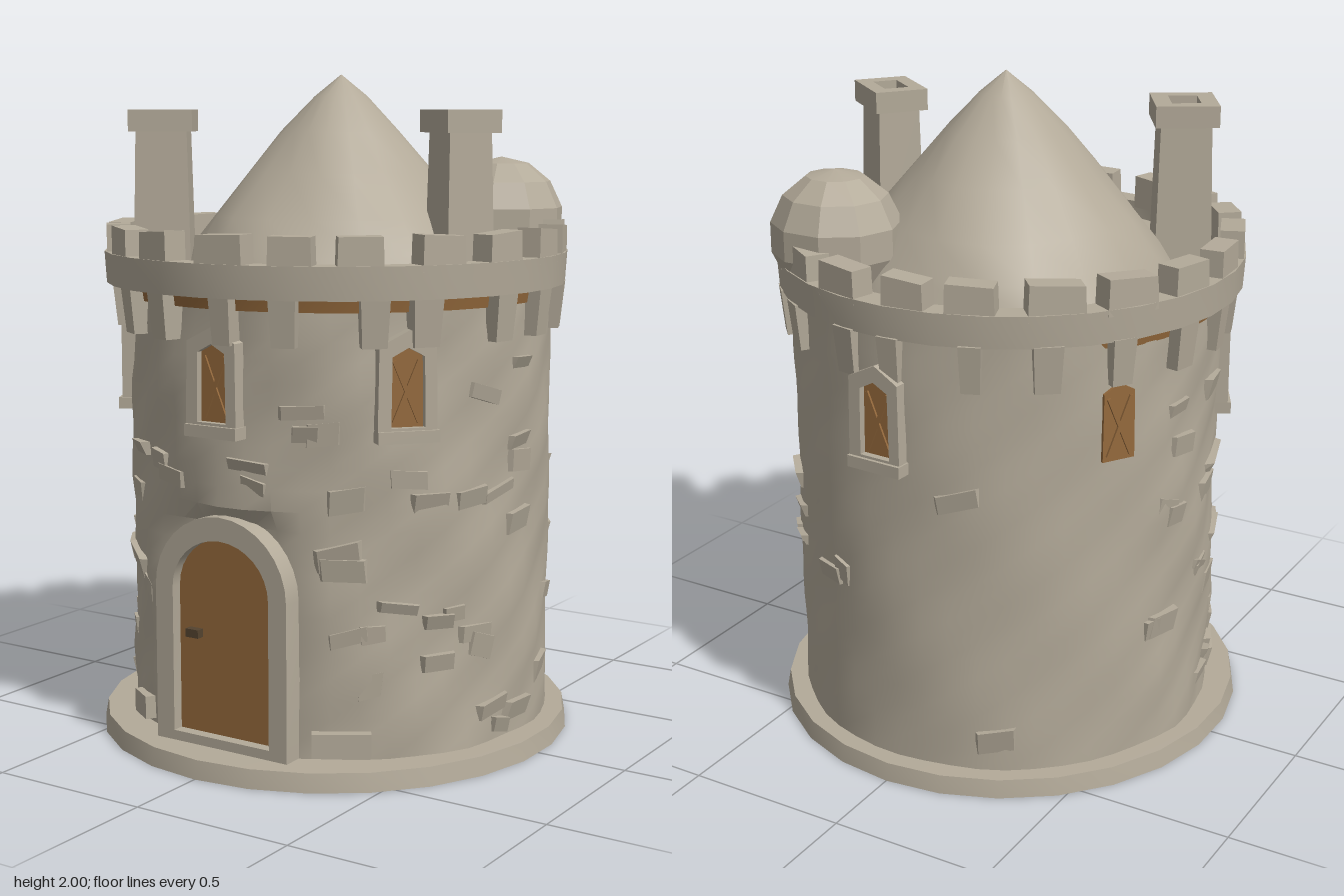
import * as THREE from 'three';
import { toCreasedNormals } from 'three/addons/utils/BufferGeometryUtils.js';

const stone = new THREE.MeshStandardMaterial({ color: 0xb3aa99 });
stone.name = 'stone';
const wood = new THREE.MeshStandardMaterial({ color: 0x94693c });
wood.name = 'wood';
const iron = new THREE.MeshStandardMaterial({ color: 0x54432f });
iron.name = 'darkIron';

const RAD = Math.PI / 180;
const CZ = -0.03; // z of the tower axis
let seed = 7;
const rnd = () => (seed = (seed * 16807) % 2147483647) / 2147483647;
const jit = (a) => (rnd() * 2 - 1) * a;

export function createModel() {
  const model = new THREE.Group();

  const add = (name, geo, mat = stone, parent = model, crease = 0.6) => {
    const m = new THREE.Mesh(toCreasedNormals(geo, crease), mat);
    m.name = name;
    parent.add(m);
    return m;
  };
  const lathe = (pts, seg) => new THREE.LatheGeometry(pts.map(([x, y]) => new THREE.Vector2(x, y)), seg);
  // moves each vertex by a rule
  const warp = (geo, rule) => {
    const p = geo.attributes.position, v = new THREE.Vector3();
    for (let i = 0; i < p.count; i++) {
      v.fromBufferAttribute(p, i);
      rule(v);
      p.setXYZ(i, v.x, v.y, v.z);
    }
    return geo;
  };
  // group turned about the tower axis so that its +z points outward
  const spoke = (name, deg, z = CZ) => {
    const g = new THREE.Group();
    g.name = name;
    g.position.z = z;
    g.rotation.y = deg * RAD;
    model.add(g);
    return g;
  };
  const poly = (pts) => new THREE.Shape(pts.map(([x, y]) => new THREE.Vector2(x, y)));
  const extrude = (shape, depth, z = 0) =>
    new THREE.ExtrudeGeometry(shape, { depth, bevelEnabled: false, curveSegments: 8 }).translate(0, 0, z);

  // base slab
  const base = lathe([[0, 0], [0.735, 0], [0.725, 0.055], [0, 0.062]], 26);
  add('baseSlab', warp(base, (v) => { v.x *= 0.985; v.z *= 1.01; }));

  // round wall, gently uneven and flattened behind the door
  const wall = new THREE.CylinderGeometry(0.645, 0.645, 1.33, 48, 22, true).translate(0, 0.715, 0);
  warp(wall, (v) => {
    const a = Math.atan2(v.x, v.z);
    const rough = Math.cos(a) > -0.3 ? 0.009 : 0.004;
    const k = 1 + rough * (Math.sin(a * 7 + v.y * 9) + Math.sin(a * 13 - v.y * 23) * 0.8);
    v.x *= k;
    v.z = v.z * k + CZ;
    if (Math.abs(v.x) < 0.25 && v.y < 0.72 && v.z > 0) v.z = Math.min(v.z, 0.562);
  });
  add('towerWall', wall);

  // wooden ring showing under the parapet
  add('woodenRing', new THREE.CylinderGeometry(0.657, 0.65, 0.04, 40, 1, true).translate(0, 1.362, -0.015), wood);

  // rough stones standing proud of the wall
  const windows = [0, 49, 177, -121, -62];
  const stones = new THREE.Group();
  stones.name = 'wallStones';
  model.add(stones);
  for (let i = 0; i < 105; i++) {
    const deg = i < 90 ? -100 + rnd() * 195 : 95 + rnd() * 165;
    const y = 0.1 + rnd() * 1.1;
    const w = 0.07 + rnd() * 0.1, h = 0.03 + rnd() * 0.045;
    if (Math.abs(deg) < 30 && y < 0.82) continue;
    if (y > 0.92 && windows.some((d) => Math.abs(((deg - d + 540) % 360) - 180) < 16)) continue;
    const skew = jit(0.015), top = 0.008 + rnd() * 0.014;
    const g = warp(new THREE.BoxGeometry(w, h, 0.05), (v) => {
      if (v.z > 0) {
        v.x *= 0.75;
        v.z = v.y > 0 ? top : 0.004;
      }
      v.y += v.x > 0 ? skew : -skew * 0.5;
    });
    const s = add('wallStone', g, stone, stones, 0.3);
    s.position.set(Math.sin(deg * RAD) * 0.643, y, Math.cos(deg * RAD) * 0.643 + CZ);
    s.rotation.set(0, deg * RAD, jit(0.12), 'YXZ');
  }

  // parapet with roof deck, merlons and corbels
  add('parapet', lathe([[0.6, 1.38], [0.7, 1.38], [0.706, 1.475], [0.632, 1.475], [0.632, 1.42], [0, 1.42]], 30));
  for (let i = 0; i < 20; i++) {
    const m = spoke('merlon', 94 + i * 18 + jit(1.5), 0);
    const lean = jit(0.012);
    const g = warp(new THREE.BoxGeometry(0.145 + jit(0.02), 0.1, 0.072), (v) => {
      if (v.y > 0) { v.x *= 0.95; v.y += v.x * lean * 8; }
    });
    add('merlonBlock', g.translate(0, 1.505, 0.662), stone, m);

    const c = spoke('corbel', 3 + i * 18 + jit(3), -0.015);
    const b = warp(new THREE.BoxGeometry(0.075 + jit(0.015), 0.14, 0.12), (v) => {
      if (v.y < 0) { v.x *= 0.85; if (v.z > 0) v.z -= 0.015; }
    });
    add('corbelBlock', b.translate(0, 1.315, 0.632), stone, c);
  }

  // pointed roof
  const roof = lathe([[0.5, 1.4], [0.46, 1.48], [0.39, 1.58], [0.28, 1.71], [0.18, 1.83], [0.08, 1.935], [0, 2]], 18);
  warp(roof, (v) => {
    const a = Math.atan2(v.x, v.z);
    const k = 1 + 0.02 * Math.sin(a * 5 + v.y * 14);
    v.x = v.x * k + 0.015;
    v.z = v.z * k - 0.005;
  });
  add('pointedRoof', roof, stone, model, 0.5);

  // small dome on the deck
  const dome = new THREE.SphereGeometry(0.2, 10, 7);
  add('smallDome', dome.scale(1, 1, 0.95).translate(0.35, 1.55, -0.41), stone, model, 0.35);

  // chimneys: tapered shaft and hollow cap
  for (const [x, z, deg, w, d] of [[-0.405, 0.33, 32, 0.19, 0.2], [0.475, 0.075, 52, 0.165, 0.215]]) {
    const g = new THREE.Group();
    g.name = 'chimney';
    g.position.set(x, 1.4, z);
    g.rotation.y = deg * RAD;
    model.add(g);
    const shaft = warp(new THREE.BoxGeometry(w - 0.03, 0.44, d - 0.05), (v) => {
      const k = v.y < 0 ? 1.08 : 0.95;
      v.x *= k; v.z *= k;
    });
    add('chimneyShaft', shaft.translate(0, 0.22, 0), stone, g);
    const rect = (a, b) => [[-a, -b], [a, -b], [a, b], [-a, b]];
    const cap = poly(rect(w / 2, d / 2));
    cap.holes.push(poly(rect(w * 0.23, d * 0.27)));
    add('chimneyCap', extrude(cap, 0.065).rotateX(-Math.PI / 2).translate(0, 0.43, 0), stone, g);
  }

  // windows: pointed stone frame, wooden pane, crossed bars
  for (const deg of windows) {
    const g = spoke('window', deg);
    g.position.y = 1.13;
    const flush = deg === -121;
    if (!flush) {
      const frame = poly([[-0.09, -0.15], [0.085, -0.15], [0.082, 0.12], [0.005, 0.165], [-0.085, 0.12]]);
      frame.holes.push(poly([[-0.05, -0.11], [0.05, -0.11], [0.047, 0.09], [0, 0.115], [-0.047, 0.09]]));
      add('windowFrame', extrude(frame, 0.085, 0.59), stone, g);
      add('windowSill', new THREE.BoxGeometry(0.18, 0.035, 0.06).translate(0, -0.135, 0.655), stone, g);
    }
    const pane = poly([[-0.052, -0.112], [0.052, -0.112], [0.05, 0.09], [0, 0.118], [-0.05, 0.09]]);
    add('windowPane', extrude(pane, 0.009, 0.645), wood, g);
    for (const s of [-1, 1]) {
      const bar = new THREE.BoxGeometry(0.012, 0.19, 0.009).rotateZ(s * 0.4).translate(0, -0.01, 0.656);
      add('windowBar', bar, wood, g);
    }
  }

  // arched doorway
  const arch = (Path, w, y0, spring, rise) => {
    const p = new Path();
    p.moveTo(-w, y0);
    p.lineTo(w, y0);
    p.lineTo(w, spring);
    p.absellipse(0, spring, w, rise, 0, Math.PI, false);
    p.lineTo(-w, y0);
    return p;
  };
  const door = new THREE.Group();
  door.name = 'doorway';
  door.position.x = 0.008;
  model.add(door);
  const surround = arch(THREE.Shape, 0.232, 0.05, 0.52, 0.225);
  surround.holes.push(arch(THREE.Path, 0.17, 0.085, 0.52, 0.155));
  add('doorSurround', extrude(surround, 0.12, 0.505), stone, door);
  add('doorPanel', extrude(arch(THREE.Shape, 0.172, 0.08, 0.52, 0.157), 0.02, 0.57), wood, door);
  add('doorHandle', new THREE.BoxGeometry(0.045, 0.025, 0.03).translate(-0.11, 0.385, 0.6), iron, door);

  // low blocks beside the doorway
  for (const [deg, w] of [[33, 0.17], [-33, 0.1]]) {
    const g = spoke('footStone', deg);
    add('footBlock', new THREE.BoxGeometry(w, 0.07, 0.08).translate(0, 0.105, 0.63), stone, g);
  }

  return model;
}
